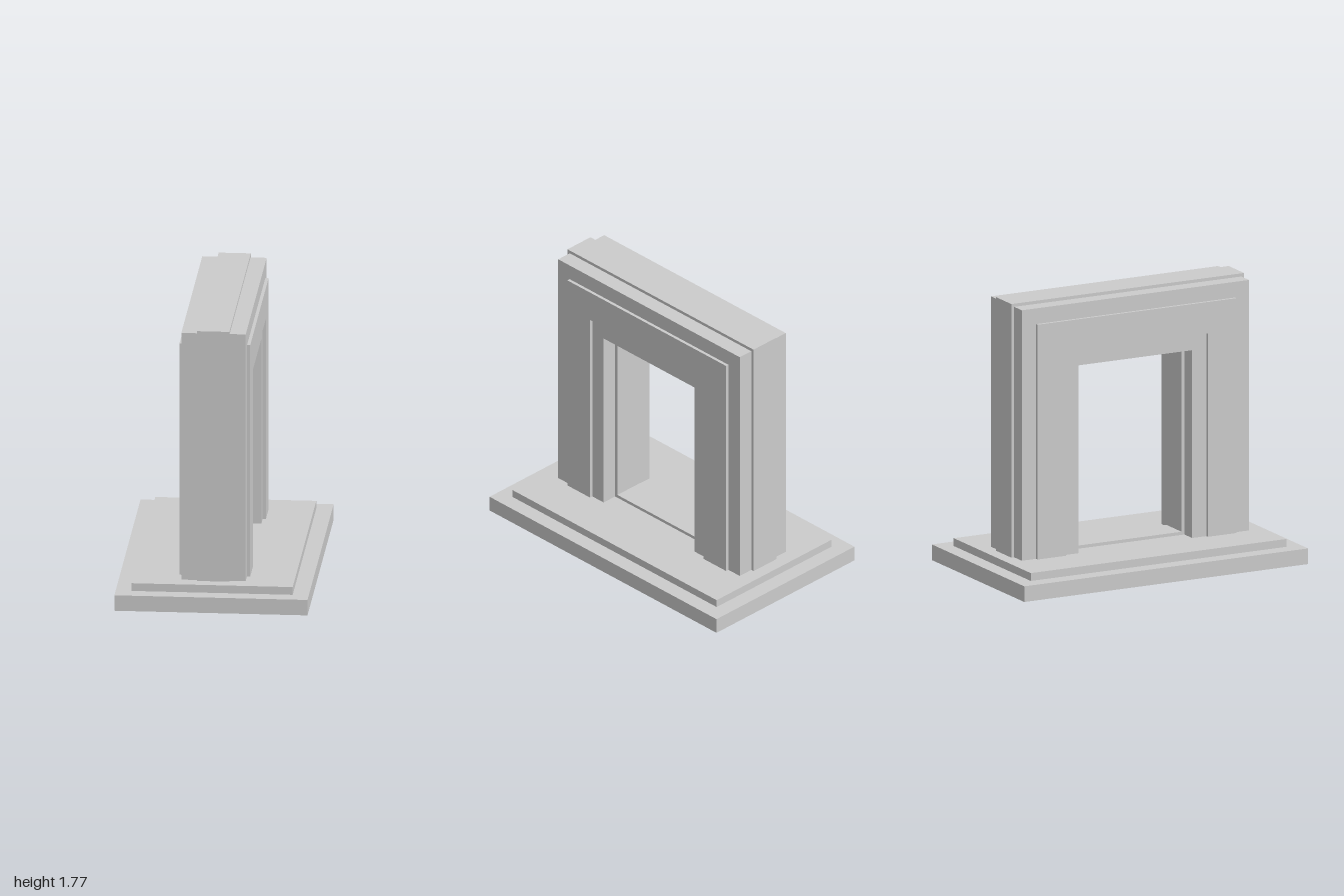
import * as THREE from 'three';

const FLOOR = 0.15; // top of the stepped base
const material = new THREE.MeshStandardMaterial({ color: 0xcccccc, flatShading: true });

function addMesh(parent, name, geometry, x = 0, y = 0) {
  const mesh = new THREE.Mesh(geometry, material);
  mesh.name = name;
  mesh.position.set(x, y, 0);
  parent.add(mesh);
}

// Extrudes a z-y outline along x, centred on x = 0
function extrudeX(shape, thickness) {
  return new THREE.ExtrudeGeometry(shape, { depth: thickness, bevelEnabled: false })
    .translate(0, 0, -thickness / 2)
    .rotateY(Math.PI / 2);
}

// Doorway outline: two legs and a lintel, open at the floor
function archGeometry(outerHalf, outerTop, innerHalf, innerTop, thickness) {
  const shape = new THREE.Shape([
    [-outerHalf, FLOOR], [-innerHalf, FLOOR], [-innerHalf, innerTop], [innerHalf, innerTop],
    [innerHalf, FLOOR], [outerHalf, FLOOR], [outerHalf, outerTop], [-outerHalf, outerTop],
  ].map(([z, y]) => new THREE.Vector2(z, y)));
  return extrudeX(shape, thickness);
}

function rectPoints(half, bottom, top) {
  return [[-half, bottom], [half, bottom], [half, top], [-half, top]]
    .map(([z, y]) => new THREE.Vector2(z, y));
}

export function createModel() {
  const group = new THREE.Group();
  group.name = 'doorway';

  // Stepped base
  addMesh(group, 'lowerStep', new THREE.BoxGeometry(1.2, 0.1, 2), 0, 0.05);
  addMesh(group, 'upperStep', new THREE.BoxGeometry(1, 0.05, 1.8), 0, 0.125);

  // Main frame
  addMesh(group, 'mainFrame', archGeometry(0.8, 1.75, 0.4, 1.35, 0.4));

  // Middle band, standing proud all round and crossing the floor as a sill
  const band = new THREE.Shape(rectPoints(0.82, FLOOR, 1.77));
  band.holes.push(new THREE.Path(rectPoints(0.38, 0.17, 1.33)));
  addMesh(group, 'middleBand', extrudeX(band, 0.2));

  // Raised trim on both faces
  for (const side of [-1, 1]) {
    addMesh(group, side > 0 ? 'leftTrim' : 'rightTrim',
      archGeometry(0.7, 1.65, 0.5, 1.45, 0.02), side * 0.21);
  }
  return group;
}
